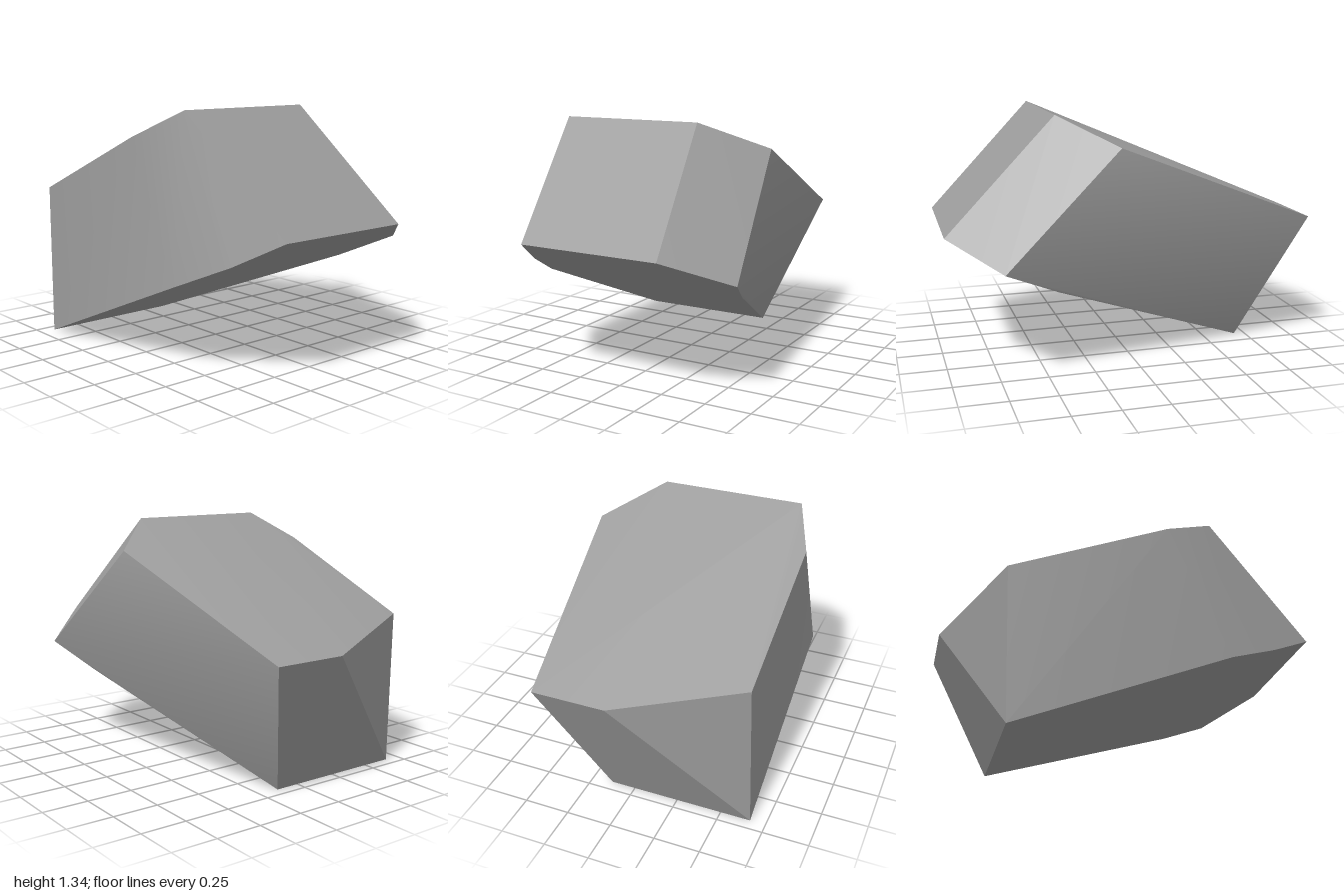
import * as THREE from 'three';
import { ConvexGeometry } from 'three/addons/geometries/ConvexGeometry.js';
import { toCreasedNormals } from 'three/addons/utils/BufferGeometryUtils.js';

export function createModel() {
  const group = new THREE.Group();
  group.name = 'rock';
  const stone = new THREE.MeshStandardMaterial({ color: 0x9c9c9c });
  stone.name = 'stone grey';

  // corners of the sloping upper face
  const upper = [
    [-1, 0.745, -0.4], [-1, 0.745, 0], [-0.72, 0.845, 0.65], [0.12, 1.195, 0.655],
    [0.4, 1.335, 0.54], [0.4, 1.335, -0.26], [0.12, 1.19, -0.545],
  ];
  // corners of the underside
  const lower = [
    [-0.69, 0, -0.135], [-0.69, 0, 0.665], [0.45, 0.475, 0.655], [0.74, 0.607, 0.535],
    [0.99, 0.745, 0.415], [1, 0.745, -0.38], [0.74, 0.61, -0.665], [0.45, 0.47, -0.55],
  ];

  // faceted boulder, softened only across shallow edges
  const corners = [...upper, ...lower].map((p) => new THREE.Vector3(...p));
  const geometry = toCreasedNormals(new ConvexGeometry(corners), THREE.MathUtils.degToRad(30));
  const boulder = new THREE.Mesh(geometry, stone);
  boulder.name = 'boulder';
  group.add(boulder);
  return group;
}
